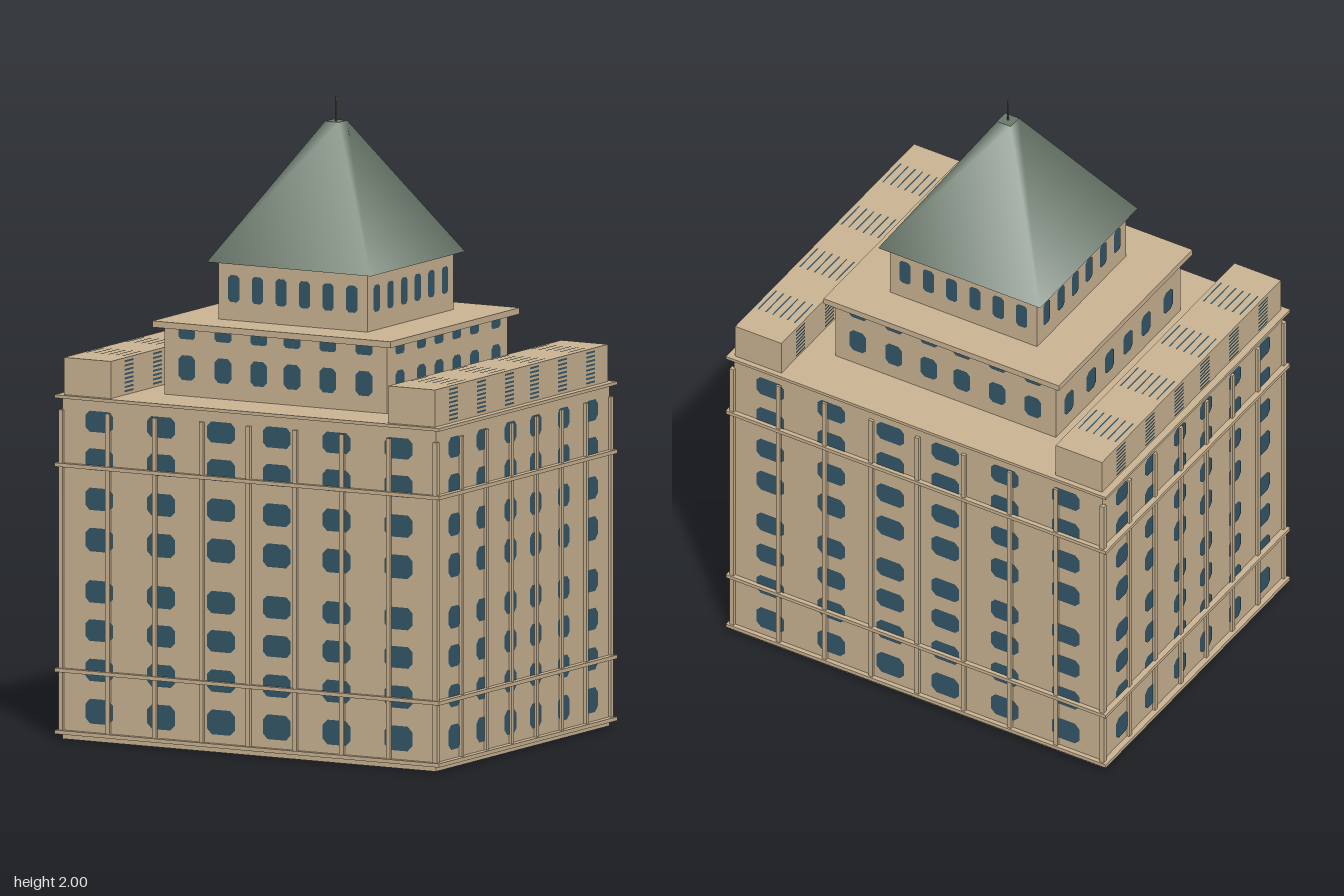
import * as THREE from 'three';
import { mergeGeometries } from 'three/addons/utils/BufferGeometryUtils.js';

export function createModel() {
  const model = new THREE.Group();
  model.name = 'tower';
  const material = (name, color) => {
    const m = new THREE.MeshStandardMaterial({ color });
    m.name = name;
    return m;
  };
  const stone = material('sandstone', 0xcdb695);
  const glass = material('window blue', 0x34586a);
  const roofGreen = material('roof green', 0x6b7a6c);
  const metal = material('finial grey', 0x60605c);

  const add = (name, geometry, mat) => {
    const mesh = new THREE.Mesh(geometry, mat);
    mesh.name = name;
    model.add(mesh);
    return mesh;
  };

  // Box from its half width, half depth, bottom and top
  const block = (name, hx, hz, y0, y1, x = 0) =>
    add(name, new THREE.BoxGeometry(hx * 2, y1 - y0, hz * 2).translate(x, (y0 + y1) / 2, 0), stone);

  // Flat window pane with clipped corners
  const pane = (w, h) => {
    const c = Math.min(w, h) * 0.22, a = w / 2, b = h / 2;
    return new THREE.ShapeGeometry(new THREE.Shape([
      [-a + c, -b], [a - c, -b], [a, -b + c], [a, b - c],
      [a - c, b], [-a + c, b], [-a, b - c], [-a, -b + c],
    ].map(([x, y]) => new THREE.Vector2(x, y))));
  };

  // Grid of panes on a wall; rows are [centre, height], the wall is turned about x or y
  const windows = (name, cols, w, rows, dist, turnY = 0, turnX = 0, x = 0, y = 0) => {
    const panes = [];
    for (const [v, h] of rows) for (const u of cols) panes.push(pane(w, h).translate(u, v, dist + 0.002));
    const g = mergeGeometries(panes).rotateX(turnX).rotateY(turnY).translate(x, y, 0);
    add(name, g, glass);
  };
  const mirrored = (list) => [...list.map((v) => -v), ...list];
  const HALF = Math.PI / 2;

  // Main block with belt courses
  const BX = 0.67, BZ = 0.54;
  block('mainBlock', BX, BZ, 0, 1.075);
  for (const y of [0.022, 0.217, 0.863]) block('beltCourse', 0.69, 0.555, y - 0.006, y + 0.006);
  block('roofSlab', 0.69, 0.555, 1.073, 1.083);

  // Pilasters on all four walls
  const pilasters = [];
  const pilaster = (x, z) =>
    pilasters.push(new THREE.BoxGeometry(0.015, 1.018, 0.015).translate(x, 0.527, z));
  for (const s of [-1, 1]) {
    for (let i = 0; i <= 8; i++) pilaster(-0.672 + i * 0.168, s * 0.542);
    for (let i = 1; i < 7; i++) pilaster(s * 0.672, -0.542 + (i * 1.084) / 7);
  }
  add('pilasters', mergeGeometries(pilasters), stone);

  // Main windows
  const rows = [[0.095, 0.078], [0.225, 0.07], [0.35, 0.068], [0.472, 0.07],
    [0.635, 0.074], [0.763, 0.07], [0.888, 0.068], [1.007, 0.066]];
  const wide = mirrored([0.1, 0.315, 0.537]), deep = mirrored([0.078, 0.252, 0.427]);
  for (const s of [0, 1]) {
    windows('mainWindows', wide, 0.1, rows, BZ, s * Math.PI);
    windows('sideWindows', deep, 0.074, rows, BX, HALF + s * Math.PI);
  }
  // Panes on the underside
  const four = [-0.375, -0.125, 0.125, 0.375].map((z) => [z, 0.11]);
  windows('bottomPanes', wide, 0.1, four, 0, 0, HALF);

  // Long parapet wings with narrow slits
  const slitRows = [];
  for (let i = 0; i < 8; i++) slitRows.push([1.095 + i * 0.0135, 0.006]);
  const slitCols = mirrored([0.013, 0.039, 0.066]);
  for (const s of [-1, 1]) {
    block('wing', 0.084, BZ - 0.002, 1.08, 1.2, s * 0.582);
    windows('wingTopSlits', slitCols, 0.005, four, 0, 0, -HALF, s * 0.582, 1.2);
    for (const t of [-1, 1])
      windows('wingSlits', deep, 0.056, slitRows, 0.084, t * HALF, 0, s * 0.582);
  }

  // Middle tier
  block('middleTier', 0.4, 0.375, 1.08, 1.297);
  block('middleSlab', 0.427, 0.402, 1.295, 1.315);
  const tierRows = [[1.172, 0.078], [1.279, 0.034]];
  for (const s of [0, 1]) {
    windows('middleWindows', mirrored([0.06, 0.188, 0.318]), 0.06, tierRows, 0.375, s * Math.PI);
    windows('middleSideWindows', mirrored([0.055, 0.165, 0.298]), 0.055, tierRows, 0.4, HALF + s * Math.PI);
  }

  // Upper tier
  block('upperTier', 0.267, 0.267, 1.315, 1.5);
  for (let i = 0; i < 4; i++)
    windows('upperWindows', mirrored([0.042, 0.127, 0.212]), 0.04, [[1.415, 0.085]], 0.267, i * HALF);

  // Pyramid roof and finial
  add('pyramidRoof', new THREE.CylinderGeometry(0.025 * Math.SQRT2, 0.294 * Math.SQRT2, 0.428, 4)
    .rotateY(Math.PI / 4).translate(0, 1.71, 0), roofGreen);
  add('finial', new THREE.CylinderGeometry(0.003, 0.003, 0.08, 8).translate(0, 1.96, 0), metal);
  return model;
}
